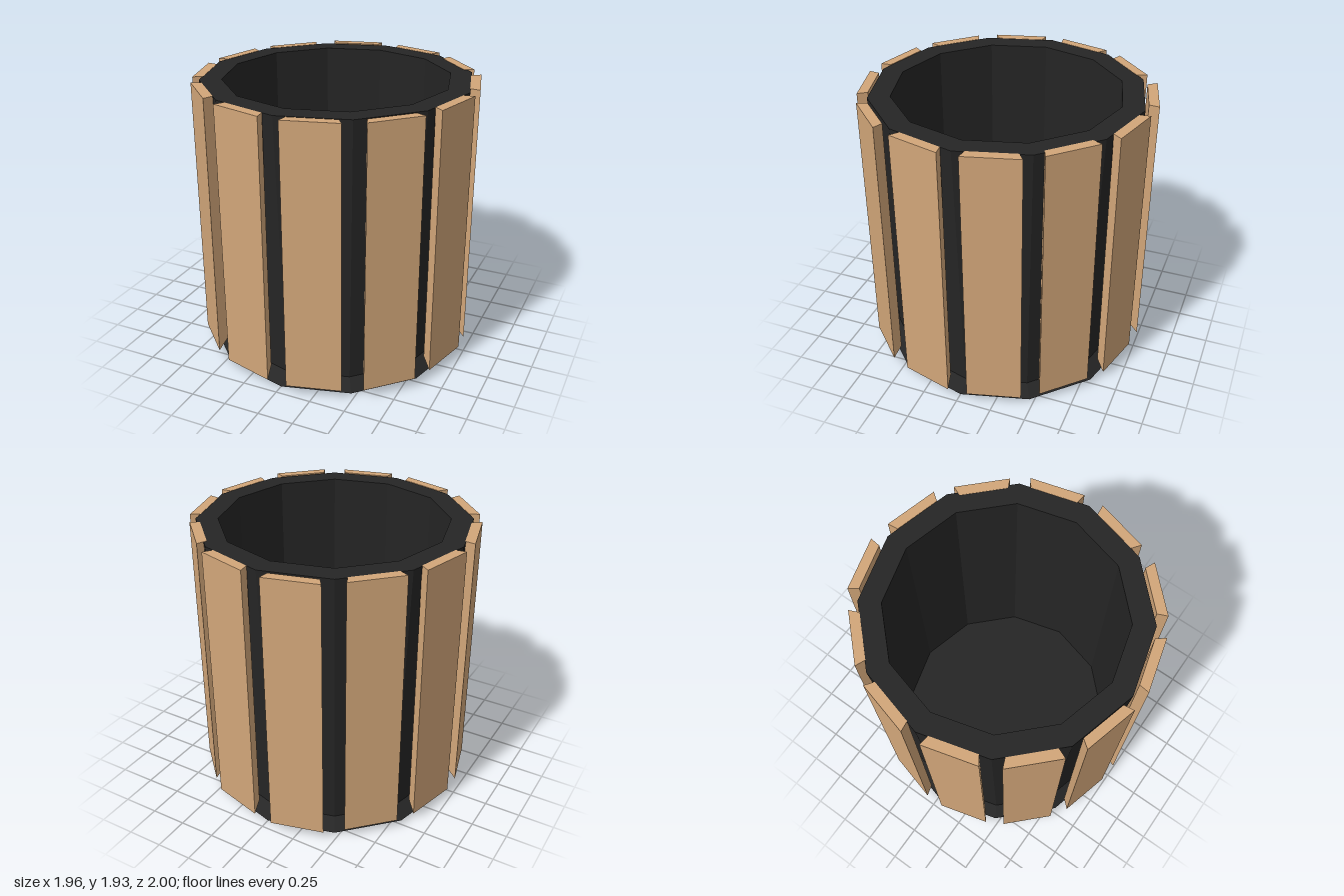
import * as THREE from 'three';

const HEIGHT = 1.93;
const SIDES = 12;

// Outer face distance of each slat from the axis, counted from the front towards +x
const SLAT_REACH = [0.98, 0.985, 0.967, 0.962, 0.945, 0.967, 0.99, 0.962, 0.962, 0.962, 0.966, 0.97];

// Slat with bevelled long edges and a bottom cut sloping up towards the tub
function slatGeometry() {
  const outerHalf = 0.187, innerHalf = 0.16, thickness = 0.068;
  const geometry = new THREE.BoxGeometry(2, 2, 2);
  const p = geometry.attributes.position;
  for (let i = 0; i < p.count; i++) {
    const outer = p.getZ(i) > 0;
    const x = Math.sign(p.getX(i)) * (outer ? outerHalf : innerHalf);
    const y = p.getY(i) > 0 ? HEIGHT : (outer ? 0.07 : 0.14);
    p.setXYZ(i, x, y, outer ? 0 : -thickness);
  }
  geometry.computeVertexNormals();
  return geometry;
}

export function createModel() {
  const model = new THREE.Group();
  model.name = 'slattedPlanter';

  const black = new THREE.MeshStandardMaterial({ color: 0x252525, flatShading: true });
  black.name = 'black';
  const wood = new THREE.MeshStandardMaterial({ color: 0xd2a679, flatShading: true });
  wood.name = 'light wood';

  // Hollow twelve-sided tub, flared at the foot and widening to the rim
  const profile = [
    [0, 0], [0.93, 0], [0.84, 0.07], [0.93, HEIGHT - 0.002],
    [0.78, HEIGHT - 0.002], [0.78, 0.07], [0, 0.07],
  ].map(([r, y]) => new THREE.Vector2(r, y));
  const tub = new THREE.Mesh(new THREE.LatheGeometry(profile, SIDES), black);
  tub.name = 'tub';
  model.add(tub);

  // Ring of upright slats, one on each side of the tub
  const slats = new THREE.Group();
  slats.name = 'slats';
  const geometry = slatGeometry();
  SLAT_REACH.forEach((reach, i) => {
    const angle = ((i + 0.5) / SIDES) * Math.PI * 2;
    const slat = new THREE.Mesh(geometry, wood);
    slat.name = `slat${i + 1}`;
    slat.position.set(Math.sin(angle) * reach, 0, Math.cos(angle) * reach);
    slat.rotation.y = angle;
    slats.add(slat);
  });
  model.add(slats);

  return model;
}
